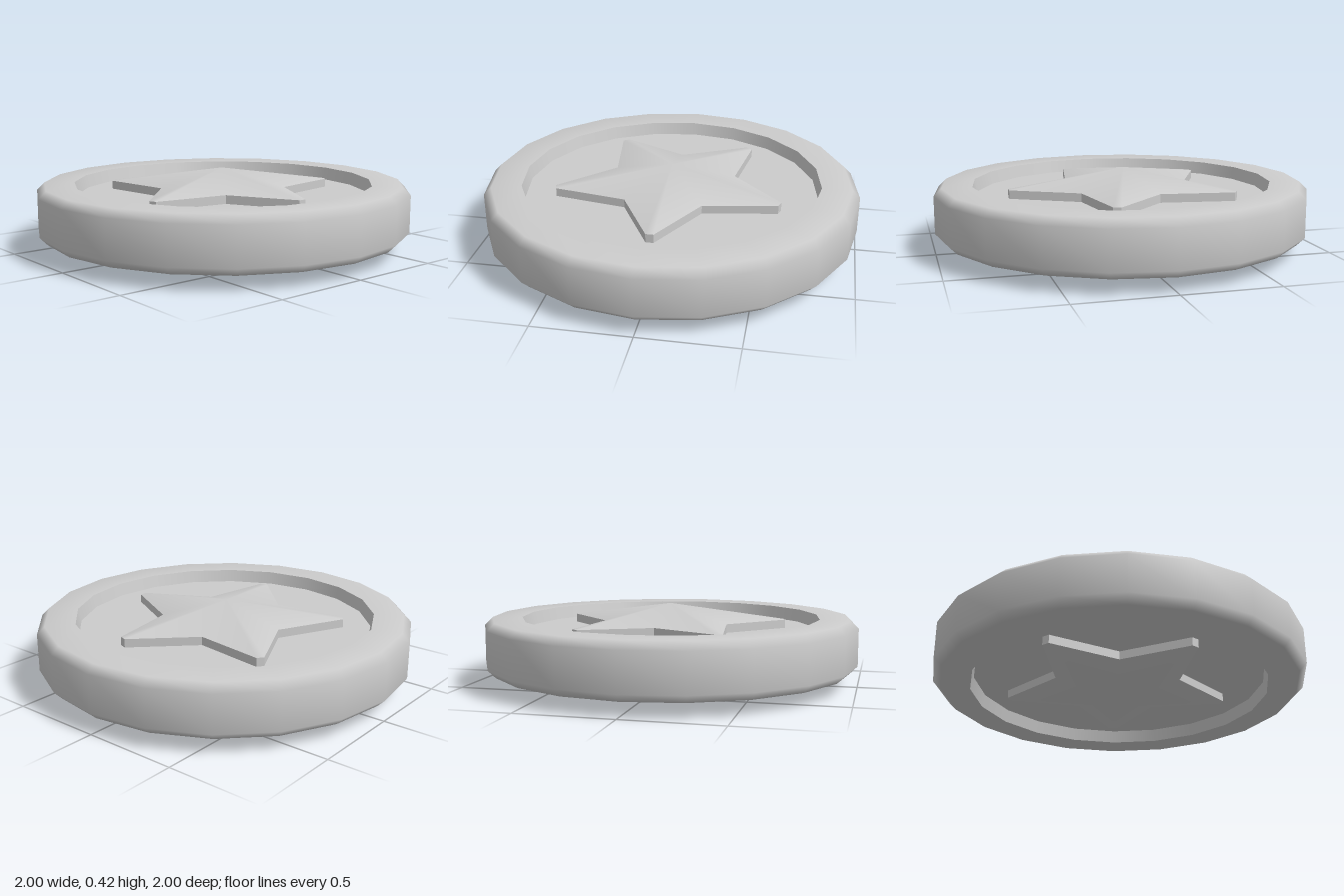
import * as THREE from 'three';

const MID = 0.21;      // height of the coin's middle plane
const HALF = 0.139;    // half thickness of the rim
const FLOOR = 0.071;   // recessed face, measured from the middle plane
const TIP = 0.116;     // star outline height
const APEX = 0.21;     // star centre height

const metal = new THREE.MeshStandardMaterial({ color: 0xcccccc });
metal.name = 'greyMetal';

function addMesh(parent, name, geometry) {
  const mesh = new THREE.Mesh(geometry, metal);
  mesh.name = name;
  parent.add(mesh);
}

// Surface of revolution with 20 sides
function lathe(points) {
  return new THREE.LatheGeometry(points.map(([r, y]) => new THREE.Vector2(r, y)), 20);
}

// Blunt-tipped five-pointed outline as [x, z] pairs
function starOutline() {
  const points = [];
  for (let i = 0; i < 5; i++) {
    const a = (i * 2 * Math.PI) / 5;
    for (const [r, t] of [[0.625, -0.032], [0.625, 0.032], [0.345, Math.PI / 5]]) {
      points.push([r * Math.cos(a + t) - 0.013, r * Math.sin(a + t)]);
    }
  }
  return points;
}

function geometryFrom(positions, index) {
  const g = new THREE.BufferGeometry();
  g.setAttribute('position', new THREE.Float32BufferAttribute(positions, 3));
  if (index) g.setIndex(index);
  g.computeVertexNormals();
  return g;
}

// One face of the coin: recess wall, floor and raised star
function makeFace(name) {
  const face = new THREE.Group();
  face.name = name;
  addMesh(face, 'recessWall', lathe([[0.8, HALF], [0.785, FLOOR]]));
  addMesh(face, 'recessFloor', lathe([[0.785, FLOOR], [0, FLOOR]]));

  const outline = starOutline();
  const n = outline.length;
  const top = [-0.013, APEX, 0];
  const fan = [];
  const wall = [];
  outline.forEach(([x, z], i) => {
    const [x2, z2] = outline[(i + 1) % n];
    top.push(x, TIP, z);
    fan.push(0, 1 + ((i + 1) % n), 1 + i);
    wall.push(x, TIP, z, x2, TIP, z2, x, FLOOR, z);
    wall.push(x2, TIP, z2, x2, FLOOR, z2, x, FLOOR, z);
  });
  addMesh(face, 'starTop', geometryFrom(top, fan));
  addMesh(face, 'starSides', geometryFrom(wall));
  return face;
}

export function createModel() {
  const coin = new THREE.Group();
  coin.name = 'coin';
  const body = new THREE.Group();
  body.name = 'coinBody';
  body.position.y = MID;
  coin.add(body);

  // Bevelled rim, smooth from inner edge to inner edge
  addMesh(body, 'rim', lathe([
    [0.8, -HALF], [0.96, -HALF], [1, -HALF + 0.04],
    [1, HALF - 0.04], [0.96, HALF], [0.8, HALF],
  ]));

  // Matching faces above and below
  const lower = makeFace('lowerFace');
  lower.rotation.x = Math.PI;
  body.add(makeFace('upperFace'), lower);
  return coin;
}
